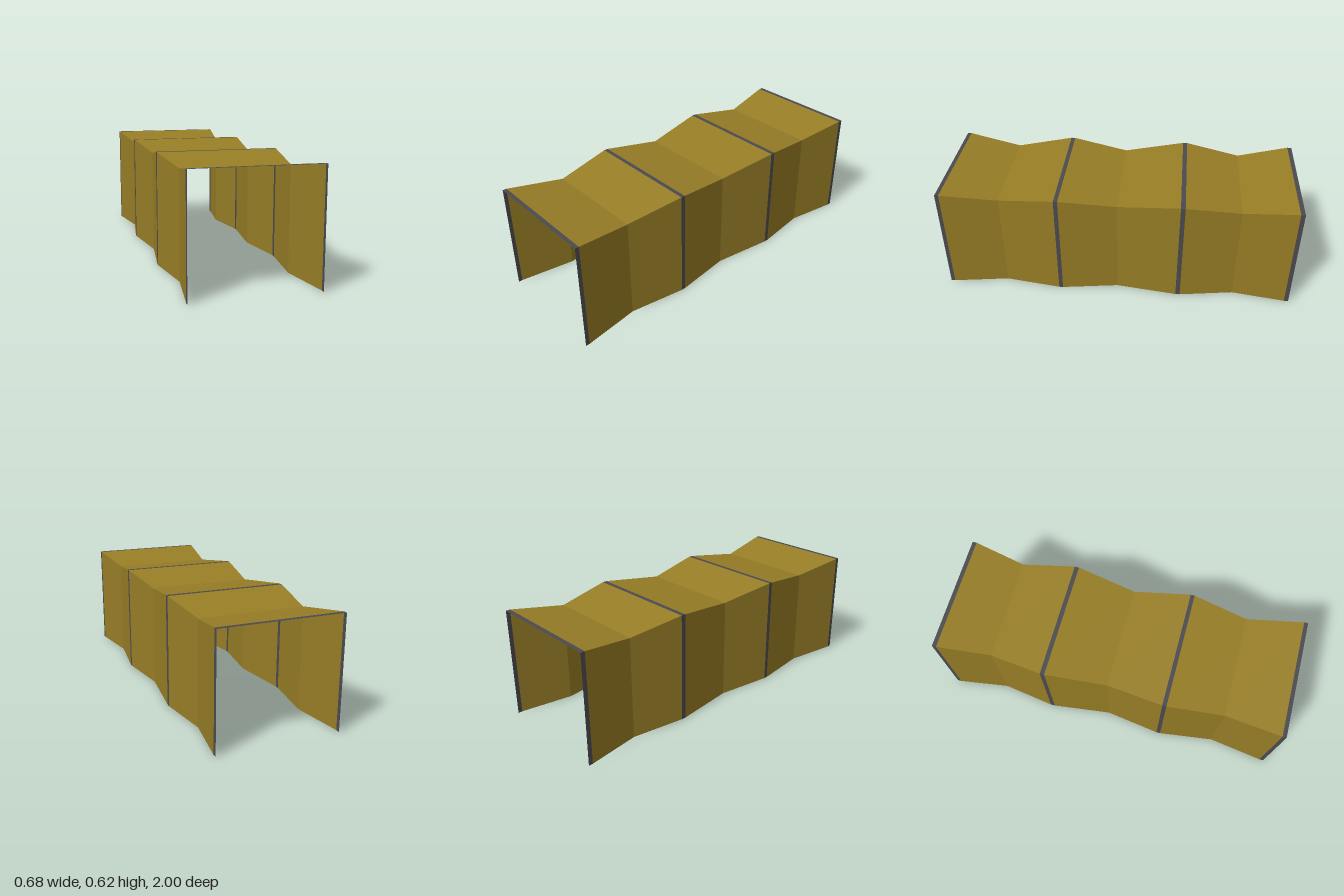
import * as THREE from 'three';

const ochre = new THREE.MeshStandardMaterial({ color: 0x987e26, side: THREE.DoubleSide });
ochre.name = 'ochre fabric';
const grey = new THREE.MeshStandardMaterial({ color: 0x4a4a50, side: THREE.DoubleSide });
grey.name = 'dark grey frame';

// Upside-down U cross-section: half width, height and depth position
const section = ([w, h, z]) => [[w, 0, z], [w, h, z], [-w, h, z], [-w, 0, z]];

// Open sheet joining two cross-sections, outward faces, hard folds
function sheet(front, back) {
  const a = section(front), b = section(back), points = [];
  for (let i = 0; i < 3; i++) {
    points.push(a[i], b[i], b[i + 1], a[i], b[i + 1], a[i + 1]);
  }
  const geometry = new THREE.BufferGeometry();
  geometry.setAttribute('position', new THREE.Float32BufferAttribute(points.flat(), 3));
  geometry.computeVertexNormals();
  return geometry;
}

export function createModel() {
  const group = new THREE.Group();
  const add = (name, geometry, material) => {
    const mesh = new THREE.Mesh(geometry, material);
    mesh.name = name;
    group.add(mesh);
  };
  const ridge = (z) => [0.34, 0.625, z];
  const valley = (z) => [0.295, 0.58, z];

  // Rigid frames at the ridges, front to back
  const frames = [[1, 0.978], [0.344, 0.321], [-0.346, -0.371], [-0.976, -1]];
  frames.forEach(([z0, z1], i) => add(`frame${i + 1}`, sheet(ridge(z0), ridge(z1)), grey));

  // Folded cover between neighbouring frames, pinched in the middle
  [0.663, 0, -0.678].forEach((z, i) => {
    add(`frontFold${i + 1}`, sheet(ridge(frames[i][1]), valley(z)), ochre);
    add(`backFold${i + 1}`, sheet(valley(z), ridge(frames[i + 1][0])), ochre);
  });
  return group;
}
